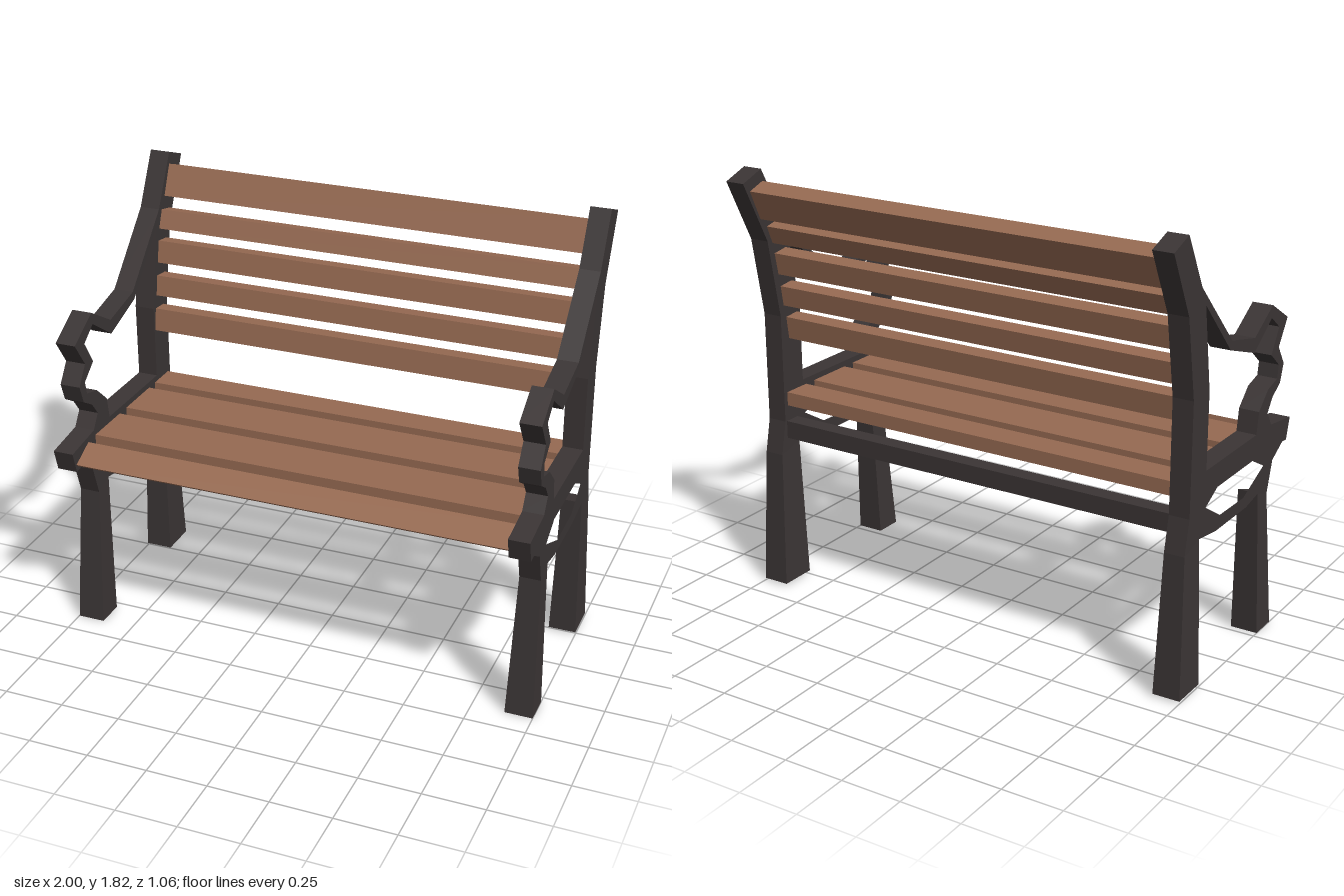
import * as THREE from 'three';

const iron = new THREE.MeshStandardMaterial({ name: 'dark iron', color: 0x3b3535, flatShading: true });
const wood = new THREE.MeshStandardMaterial({ name: 'brown wood', color: 0x966a52, flatShading: true });

// Profiles are lists of [z, y], extruded along x from x0 to x1
const toPoints = (profile) => profile.map(([z, y]) => new THREE.Vector2(-z, y));

function extrudeX(profile, x0, x1, holes = []) {
  const shape = new THREE.Shape(toPoints(profile));
  for (const hole of holes) shape.holes.push(new THREE.Path(toPoints(hole)));
  const geometry = new THREE.ExtrudeGeometry(shape, { depth: x1 - x0, bevelEnabled: false });
  return geometry.rotateY(Math.PI / 2).translate(x0, 0, 0);
}

const INNER = 0.9, OUTER = 0.985, MIDDLE = (INNER + OUTER) / 2;

// Side frame: back post, armrest, seat rail and lower brace
const frameOutline = [
  [-0.42, 1.82], [-0.53, 1.78], [-0.4, 1.52], [-0.34, 1.19], [-0.34, 0.73], [-0.37, 0.59],
  [-0.255, 0.62], [-0.115, 0.6], [0.15, 0.6], [0.255, 0.62], [0.34, 0.59], [0.38, 0.72],
  [0.47, 0.77], [0.505, 0.765], [0.53, 0.855], [0.35, 0.88], [0.31, 0.94], [0.35, 0.995],
  [0.415, 1.035], [0.44, 1.11], [0.385, 1.19], [0.455, 1.295], [0.31, 1.38], [0.16, 1.29],
  [-0.04, 1.335], [-0.305, 1.605],
];
const armOpening = [
  [-0.27, 1.53], [-0.05, 1.3], [0.16, 1.23], [0.305, 1.33], [0.38, 1.275], [0.32, 1.175],
  [0.395, 1.115], [0.385, 1.06], [0.305, 1.04], [0.23, 0.97], [0.215, 0.88], [-0.215, 0.88],
  [-0.215, 1.19],
];
const braceOpening = [
  [0.295, 0.725], [0.19, 0.78], [-0.115, 0.78], [-0.21, 0.73], [-0.085, 0.655], [0.12, 0.65],
];
const legs = {
  frontLeg: [[0.34, 0.59], [0.4, 0], [0.28, 0], [0.255, 0.62]],
  backLeg: [[-0.255, 0.62], [-0.24, 0.01], [-0.4, 0.01], [-0.37, 0.59]],
};

// Legs widen towards the foot
function legGeometry(profile) {
  const geometry = extrudeX(profile, INNER, OUTER);
  const p = geometry.attributes.position;
  for (let i = 0; i < p.count; i++) {
    if (p.getY(i) < 0.1) p.setX(i, MIDDLE + (p.getX(i) - MIDDLE) * 1.35);
  }
  geometry.computeVertexNormals();
  return geometry;
}

// Back slats: front top and front bottom corners, then depth and drop of the rear edge
const backSlats = [
  [[-0.415, 1.77], [-0.36, 1.647], 0.077, 0.027],
  [[-0.33, 1.597], [-0.3, 1.522], 0.07, 0.015],
  [[-0.29, 1.472], [-0.272, 1.38], 0.07, 0.01],
  [[-0.262, 1.325], [-0.248, 1.24], 0.07, 0.008],
  [[-0.235, 1.185], [-0.222, 1.09], 0.07, 0.006],
];

// Seat slats, back to front, with a sloping front nose
const flat = (z0, z1) => [[z0, 0.797], [z1, 0.797], [z1, 0.855], [z0, 0.855]];
const seatSlats = [
  flat(-0.32, -0.195), flat(-0.14, 0.07), flat(0.13, 0.34),
  [[0.4, 0.85], [0.505, 0.797], [0.492, 0.785], [0.39, 0.8]],
];

export function createModel() {
  const bench = new THREE.Group();
  bench.name = 'bench';
  const add = (parent, name, geometry, material) => {
    const mesh = new THREE.Mesh(geometry, material);
    mesh.name = name;
    parent.add(mesh);
    return mesh;
  };

  for (const [side, offset] of [['left', 0], ['right', -2 * MIDDLE]]) {
    const group = new THREE.Group();
    group.name = `${side}SideFrame`;
    group.position.x = offset;
    add(group, `${side}ArmAndPost`, extrudeX(frameOutline, INNER, OUTER, [armOpening, braceOpening]), iron);
    for (const [name, profile] of Object.entries(legs)) add(group, `${side} ${name}`, legGeometry(profile), iron);
    bench.add(group);
  }

  backSlats.forEach(([top, bottom, depth, drop], i) => {
    const rear = ([z, y]) => [z - depth, y - drop];
    add(bench, `backSlat${i + 1}`, extrudeX([top, bottom, rear(bottom), rear(top)], -INNER, INNER), wood);
  });
  seatSlats.forEach((profile, i) => add(bench, `seatSlat${i + 1}`, extrudeX(profile, -INNER, INNER), wood));

  // Cross bar joining the back legs
  const bar = [[-0.33, 0.655], [-0.26, 0.655], [-0.26, 0.73], [-0.33, 0.73]];
  add(bench, 'rearCrossBar', extrudeX(bar, -INNER, INNER), iron);

  return bench;
}
